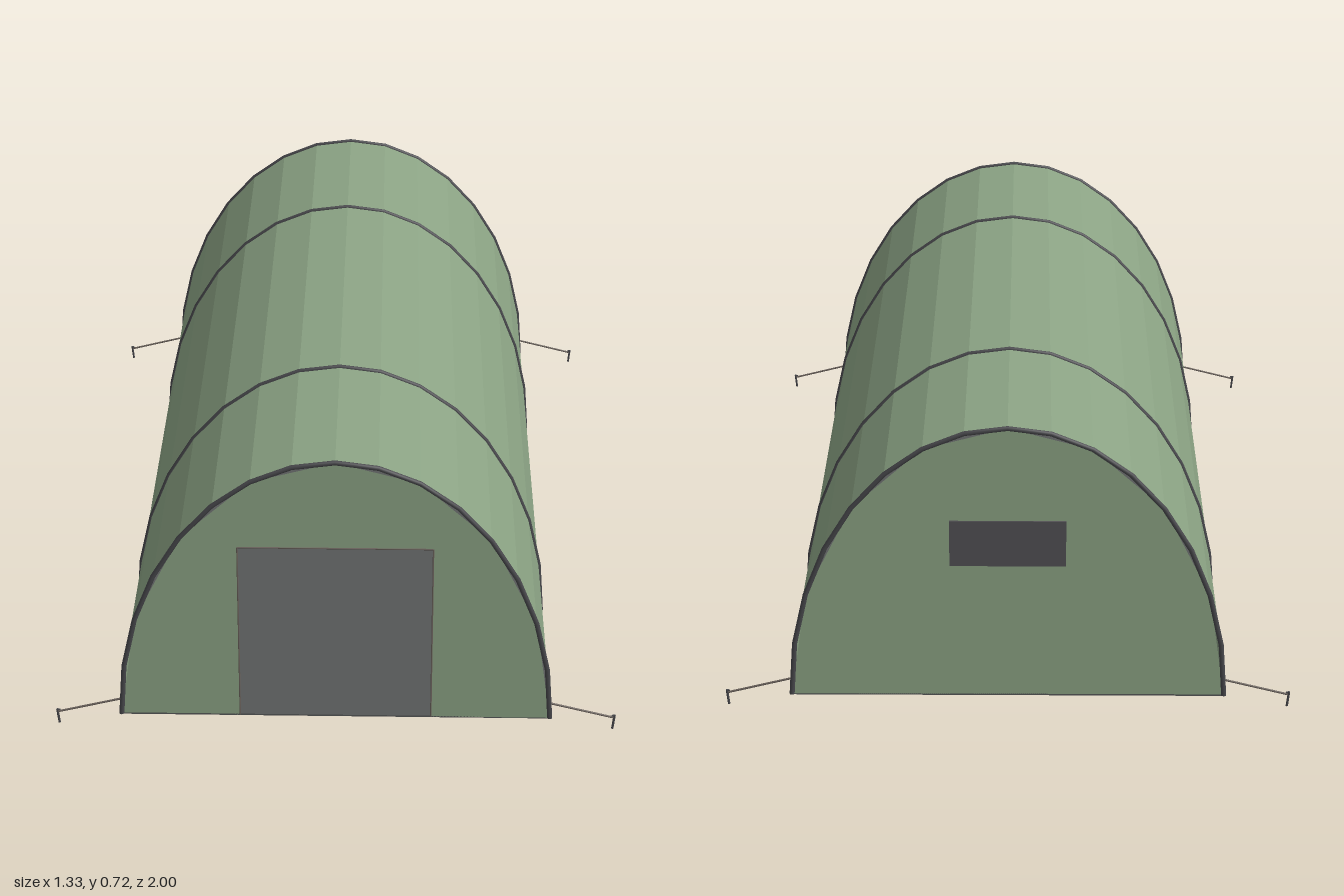
import * as THREE from 'three';

const HALF_WIDTH = 0.51, RISE = 0.683, BASE = 0.028, END = 0.994;

const mat = (name, color, opts = {}) => {
  const m = new THREE.MeshStandardMaterial({ color, ...opts });
  m.name = name;
  return m;
};

// Point on the arch, t from 0 (left foot) to 1 (right foot)
const archPoint = (t) => new THREE.Vector2(
  HALF_WIDTH * Math.cos(Math.PI * t), BASE + RISE * Math.sin(Math.PI * t));

const archPoints = (n) => Array.from({ length: n + 1 }, (_, i) => archPoint(i / n));

class ArchCurve extends THREE.Curve {
  getPoint(t, target = new THREE.Vector3()) {
    const p = archPoint(t);
    return target.set(p.x, p.y, 0);
  }
  getPointAt(t, target) { return this.getPoint(t, target); }
}

// Open vault swept along z from the arch section
function vaultGeometry(segments) {
  const pos = [], index = [];
  archPoints(segments).forEach((p, i) => {
    pos.push(p.x, p.y, END, p.x, p.y, -END);
    if (i < segments) {
      const a = i * 2;
      index.push(a, a + 1, a + 2, a + 1, a + 3, a + 2);
    }
  });
  const g = new THREE.BufferGeometry();
  g.setAttribute('position', new THREE.Float32BufferAttribute(pos, 3));
  g.setIndex(index);
  g.computeVertexNormals();
  return g;
}

// Thin straight rod between two points
function rod(name, a, b, radius, material) {
  const dir = b.clone().sub(a);
  const m = new THREE.Mesh(new THREE.CylinderGeometry(radius, radius, dir.length(), 6), material);
  m.position.copy(a).add(b).multiplyScalar(0.5);
  m.quaternion.setFromUnitVectors(new THREE.Vector3(0, 1, 0), dir.normalize());
  m.name = name;
  return m;
}

export function createModel() {
  const group = new THREE.Group();
  group.name = 'tunnelTent';
  const canvas = mat('greenCanvas', 0x8ba384, { side: THREE.DoubleSide, flatShading: true });
  const pole = mat('darkPole', 0x47474b);
  const ground = mat('groundSheet', 0x555757);
  const windowMat = mat('windowMesh', 0x525054);
  const cord = mat('cord', 0x6b625c);

  const add = (name, geometry, material, x = 0, y = 0, z = 0) => {
    const m = new THREE.Mesh(geometry, material);
    m.name = name;
    m.position.set(x, y, z);
    group.add(m);
    return m;
  };
  const v = (x, y, z) => new THREE.Vector3(x, y, z);

  // Canopy and floor
  add('canopy', vaultGeometry(16), canvas);
  add('floor', new THREE.BoxGeometry(HALF_WIDTH * 2, 0.004, END * 2), ground, 0, BASE, 0);

  // End walls, the front one with a doorway cut up from the floor
  const doorX = 0.227, doorTop = 0.487;
  const front = new THREE.Shape([
    ...archPoints(8),
    new THREE.Vector2(-doorX, BASE), new THREE.Vector2(-doorX, doorTop),
    new THREE.Vector2(doorX, doorTop), new THREE.Vector2(doorX, BASE),
  ]);
  add('frontWall', new THREE.ShapeGeometry(front), canvas, 0, 0, END);
  add('backWall', new THREE.ShapeGeometry(new THREE.Shape(archPoints(8))), canvas, 0, 0, -END);
  add('backWindow', new THREE.BoxGeometry(0.27, 0.114, 0.004), windowMat, 0, 0.423, -END - 0.002);

  // Door edging
  for (const s of [-1, 1]) {
    group.add(rod('doorEdge', v(s * doorX, BASE, END), v(s * doorX, doorTop, END), 0.002, cord));
  }
  group.add(rod('doorTopEdge', v(-doorX, doorTop, END), v(doorX, doorTop, END), 0.002, cord));

  // Arched poles
  for (const z of [-END, -0.5, 0.5, END]) {
    add('archPole', new THREE.TubeGeometry(new ArchCurve(), 16, 0.006, 8), pole, 0, 0, z);
  }

  // Guy lines and pegs at the four corners
  for (const sx of [-1, 1]) for (const sz of [-1, 1]) {
    const z = sz * END;
    group.add(rod('guyLine', v(sx * 0.507, 0.07, z), v(sx * 0.662, 0.031, z), 0.0025, cord));
    group.add(rod('peg', v(sx * 0.66, 0.0005, z), v(sx * 0.664, 0.038, z), 0.003, pole));
    group.add(rod('pegHook', v(sx * 0.664, 0.037, z), v(sx * 0.657, 0.036, z), 0.002, pole));
  }
  return group;
}
